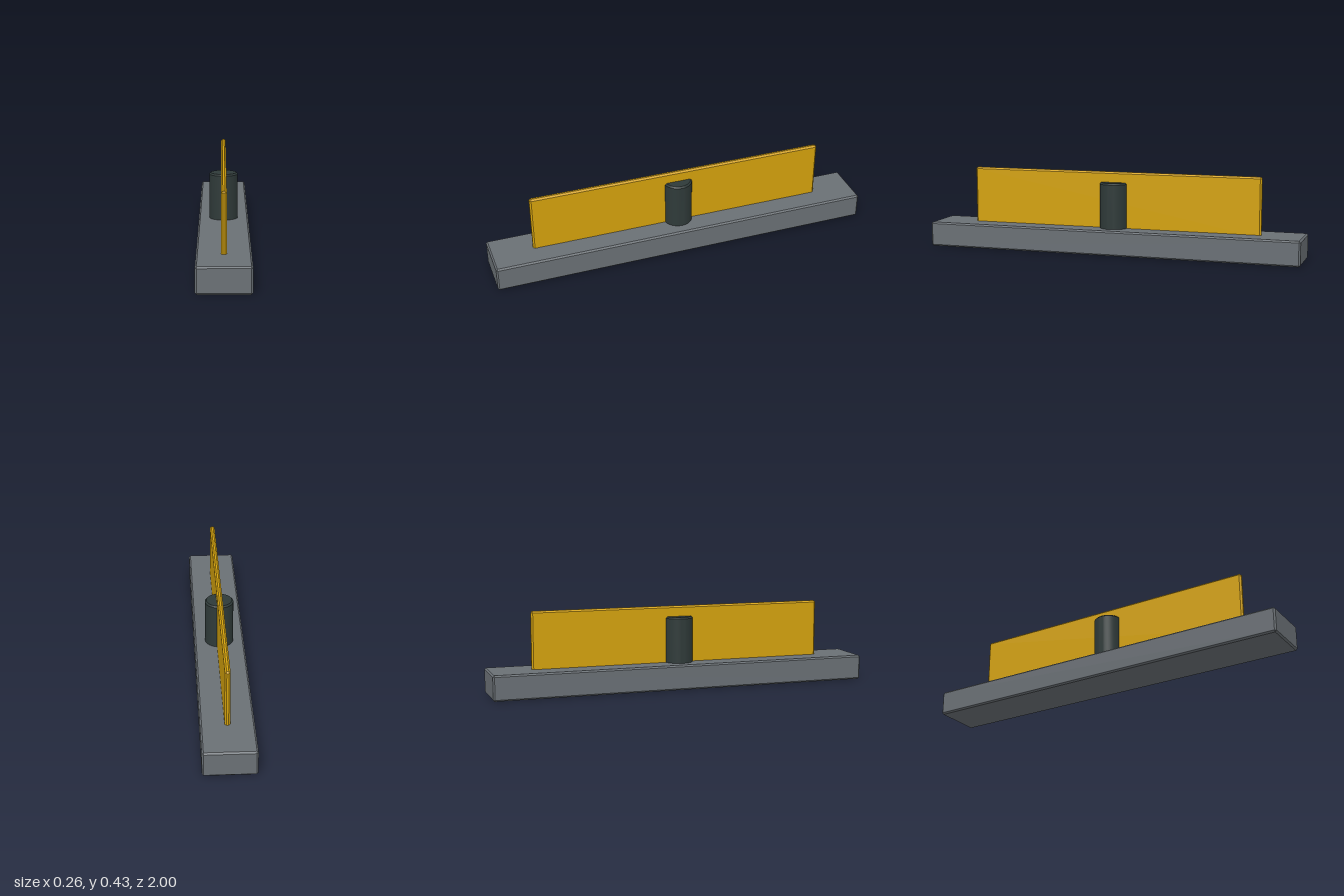
import * as THREE from 'three';
import { toCreasedNormals } from 'three/addons/utils/BufferGeometryUtils.js';
import { ConvexGeometry } from 'three/addons/geometries/ConvexGeometry.js';

// Box with every edge and corner cut by a flat chamfer c
function chamferedBox(w, h, d, c) {
  const half = [w / 2, h / 2, d / 2];
  const points = [];
  for (const sx of [-1, 1]) for (const sy of [-1, 1]) for (const sz of [-1, 1]) {
    for (let full = 0; full < 3; full++) {
      const p = [sx, sy, sz].map((s, i) => s * (half[i] - (i === full ? 0 : c)));
      points.push(new THREE.Vector3(...p));
    }
  }
  return new ConvexGeometry(points);
}

export function createModel() {
  const grey = new THREE.MeshStandardMaterial({ color: 0x6a7075 });
  grey.name = 'slateGrey';
  const gold = new THREE.MeshStandardMaterial({ color: 0xd4a20d });
  gold.name = 'goldenYellow';
  const dark = new THREE.MeshStandardMaterial({ color: 0x2f3a39 });
  dark.name = 'darkGreenGrey';

  const model = new THREE.Group();
  model.name = 'bladeOnBase';
  const add = (name, geometry, material, y) => {
    const mesh = new THREE.Mesh(geometry, material);
    mesh.name = name;
    mesh.position.y = y;
    model.add(mesh);
  };

  // Long base bar
  add('base', chamferedBox(0.26, 0.13, 2, 0.008), grey, 0.065);

  // Thin upright blade, sunk slightly into the base
  const bottom = 0.11, top = 0.425;
  add('blade', chamferedBox(0.027, top - bottom, 1.565, 0.0085), gold, (top + bottom) / 2);

  // Round post through the middle of the blade, with a chamfered rim
  const profile = [[0, 0], [0.074, 0], [0.074, 0.242], [0.066, 0.25], [0, 0.25]]
    .map(([r, y]) => new THREE.Vector2(r, y));
  add('post', toCreasedNormals(new THREE.LatheGeometry(profile, 48), 0.5), dark, 0.12);

  return model;
}
